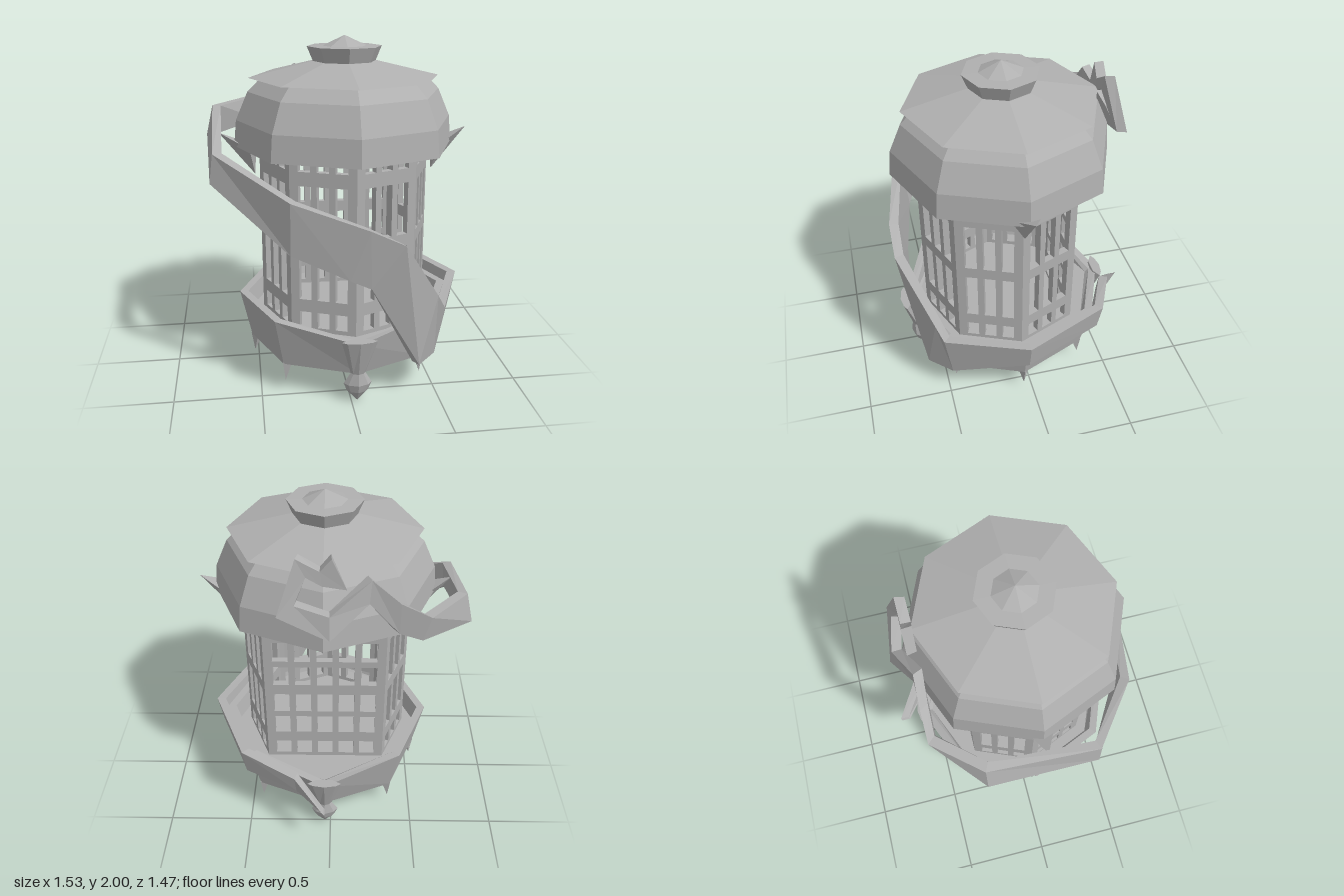
import * as THREE from 'three';
import { ConvexGeometry } from 'three/addons/geometries/ConvexGeometry.js';

const CX = 0.035, CZ = 0.055; // lantern axis
const V = (x, y, z) => new THREE.Vector3(x, y, z);

// facet every face
function facet(geo) {
  const g = geo.index ? geo.toNonIndexed() : geo;
  g.computeVertexNormals();
  return g;
}

// skin a run of rings (counter-clockwise about the run) and cap both ends
function loft(rings) {
  const n = rings[0].length, idx = [];
  for (let i = 0; i < rings.length - 1; i++) {
    for (let j = 0; j < n; j++) {
      const a = i * n + j, b = i * n + (j + 1) % n;
      idx.push(a, b, b + n, a, b + n, a + n);
    }
  }
  const last = (rings.length - 1) * n;
  for (let j = 1; j < n - 1; j++) idx.push(0, j + 1, j, last, last + j, last + j + 1);
  const g = new THREE.BufferGeometry().setFromPoints(rings.flat());
  g.setIndex(idx);
  return facet(g);
}

// eight-sided turned part from [radius, y] pairs
function octagon(profile) {
  return new THREE.LatheGeometry(profile.map(p => new THREE.Vector2(p[0], p[1])), 8);
}

// window lattice: a panel with a grid of holes
function lattice(width, bars, rails, y0, y1) {
  const s = new THREE.Shape([[0, y0], [width, y0], [width, y1], [0, y1]].map(p => new THREE.Vector2(...p)));
  const post = 0.05, bar = 0.036;
  const hole = (width - 2 * post - bars * bar) / (bars + 1);
  for (let c = 0; c <= bars; c++) {
    const xa = post + c * (hole + bar), xb = xa + hole;
    for (let r = 0; r <= rails.length; r++) {
      const ya = r ? rails[r - 1][1] : y0 + 0.03;
      const yb = r < rails.length ? rails[r][0] : y1 - 0.004;
      s.holes.push(new THREE.Path([[xa, ya], [xa, yb], [xb, yb], [xb, ya]].map(p => new THREE.Vector2(...p))));
    }
  }
  return new THREE.ExtrudeGeometry(s, { depth: 0.04, bevelEnabled: false }).translate(0, 0, -0.04);
}

export function createModel() {
  const model = new THREE.Group();
  model.name = 'lantern';
  const metal = new THREE.MeshStandardMaterial({ color: 0xb0b0b0 });
  metal.name = 'grey metal';

  const body = new THREE.Group();
  body.name = 'lanternBody';
  body.position.set(CX, 0, CZ);
  model.add(body);
  const add = (name, geo, parent = body) => {
    const m = new THREE.Mesh(geo, metal);
    m.name = name;
    parent.add(m);
    return m;
  };

  // base tray, its rim dipping at front and back
  const tray = octagon([[0, 0.18], [0.575, 0.18], [0.64, 0.47], [0.59, 0.47], [0.565, 0.37], [0, 0.37]]);
  const tp = tray.attributes.position;
  for (let i = 0; i < tp.count; i++) {
    if (tp.getY(i) > 0.4 && Math.abs(tp.getX(i)) < 0.01) tp.setY(i, 0.39);
  }
  add('baseTray', facet(tray));

  // dome, eave and finial
  add('dome', facet(octagon([[0, 1.38], [0.64, 1.38], [0.625, 1.53], [0.555, 1.69], [0.47, 1.775], [0, 1.775]])));
  add('roofEave', facet(octagon([[0, 1.765], [0.55, 1.768], [0.185, 1.857], [0, 1.857]])));
  add('finial', facet(octagon([[0, 1.85], [0.18, 1.855], [0.215, 1.94], [0.125, 1.942], [0, 2]])));

  // cage of lattice panels; the back corner is cut off into one wide panel
  const rails = [[0.49, 0.565], [0.86, 0.93], [1.23, 1.31]];
  const backRails = [[0.49, 0.565], [0.69, 0.73], [0.86, 0.93], [1.06, 1.1], [1.23, 1.31]];
  const corners = [0, 1, 2, 3, 5, 6, 7].map(k => {
    const a = k * Math.PI / 4;
    return V(0.497 * Math.sin(a), 0, 0.497 * Math.cos(a));
  });
  corners.forEach((a, i) => {
    const u = corners[(i + 1) % 7].clone().sub(a), wide = i === 3;
    const panel = add(wide ? 'backCagePanel' : 'cagePanel',
      lattice(u.length(), wide ? 4 : 2, wide ? backRails : rails, 0.365, 1.385));
    panel.position.copy(a);
    panel.rotation.y = Math.atan2(-u.z, u.x);
  });

  // small spikes under the tray corners
  for (const k of [1, 2, 3, 5, 6, 7]) {
    const spike = add('baseSpike', new ConvexGeometry([
      V(-0.035, 0.19, 0.54), V(0.035, 0.19, 0.54), V(0, 0.19, 0.58), V(0, 0.19, 0.5), V(0, 0.07, 0.56)]));
    spike.rotation.y = k * Math.PI / 4;
  }

  // leaning pendants at front and back: y, z, half width, half depth
  const pendant = [[0.005, 0.55, 0.004, 0.004], [0.07, 0.557, 0.06, 0.04], [0.12, 0.562, 0.08, 0.05],
    [0.19, 0.575, 0.042, 0.03], [0.41, 0.635, 0.1, 0.03]];
  const pendantGeo = loft(pendant.map(([y, z, w, d]) => [
    V(0, y, z + d), V(w * 0.7, y, z + d * 0.6), V(w, y, z), V(w * 0.5, y, z - d),
    V(-w * 0.5, y, z - d), V(-w, y, z), V(-w * 0.7, y, z + d * 0.6)]));
  for (const [name, turn] of [['frontPendant', 0], ['backPendant', Math.PI]]) {
    add(name, pendantGeo).rotation.y = turn;
  }

  // side thorns under the dome
  for (const s of [1, -1]) {
    add(s > 0 ? 'leftThorn' : 'rightThorn', new ConvexGeometry([
      V(s * 0.727, 1.46, 0), V(s * 0.555, 1.375, 0.088), V(s * 0.555, 1.375, -0.088),
      V(s * 0.515, 1.345, 0), V(s * 0.525, 1.21, 0)]));
  }

  // spiral strap: upper and lower outer edge points from the tail to the curl
  const strap = [
    [[0.04, 0.315, -0.735], [0.03, 0.3, -0.73]],
    [[0.21, 0.465, -0.6], [0.2, 0.36, -0.59]],
    [[0.53, 0.53, -0.45], [0.51, 0.365, -0.43]],
    [[0.745, 0.53, 0.055], [0.714, 0.365, 0.055]],
    [[0.55, 0.51, 0.525], [0.51, 0.2, 0.48]],
    [[0.5, 0.6, 0.565], [0.39, 0.2, 0.61]],
    [[0.27, 0.97, 0.735], [0.095, 0.72, 0.7]],
    [[0.08, 1.06, 0.735], [-0.02, 0.77, 0.69]],
    [[-0.33, 1.2, 0.65], [-0.33, 0.9, 0.62]],
    [[-0.725, 1.4, 0.34], [-0.745, 1.235, 0.34]],
    [[-0.73, 1.56, -0.29], [-0.77, 1.385, -0.29]],
    [[-0.52, 1.57, -0.54], [-0.48, 1.43, -0.54]],
    [[-0.36, 1.65, -0.54], [-0.36, 1.47, -0.54]],
    [[-0.21, 1.78, -0.53], [-0.2, 1.65, -0.54]],
    [[0, 1.62, -0.62], [0, 1.49, -0.645]],
    [[0.18, 1.66, -0.58], [0.27, 1.6, -0.595]],
    [[0.12, 1.8, -0.54], [0.17, 1.9, -0.535]],
    [[0.04, 1.75, -0.54], [0.05, 1.83, -0.535]],
    [[-0.085, 1.73, -0.54], [-0.01, 1.9, -0.535]],
  ];
  const inward = p => {
    const d = V(CX - p.x, 0, CZ - p.z).normalize();
    return p.clone().addScaledVector(d, 0.055);
  };
  add('spiralStrap', loft(strap.map(([t, b]) => {
    const top = V(...t), low = V(...b);
    return [top, inward(top), inward(low), low];
  })), model);

  return model;
}
